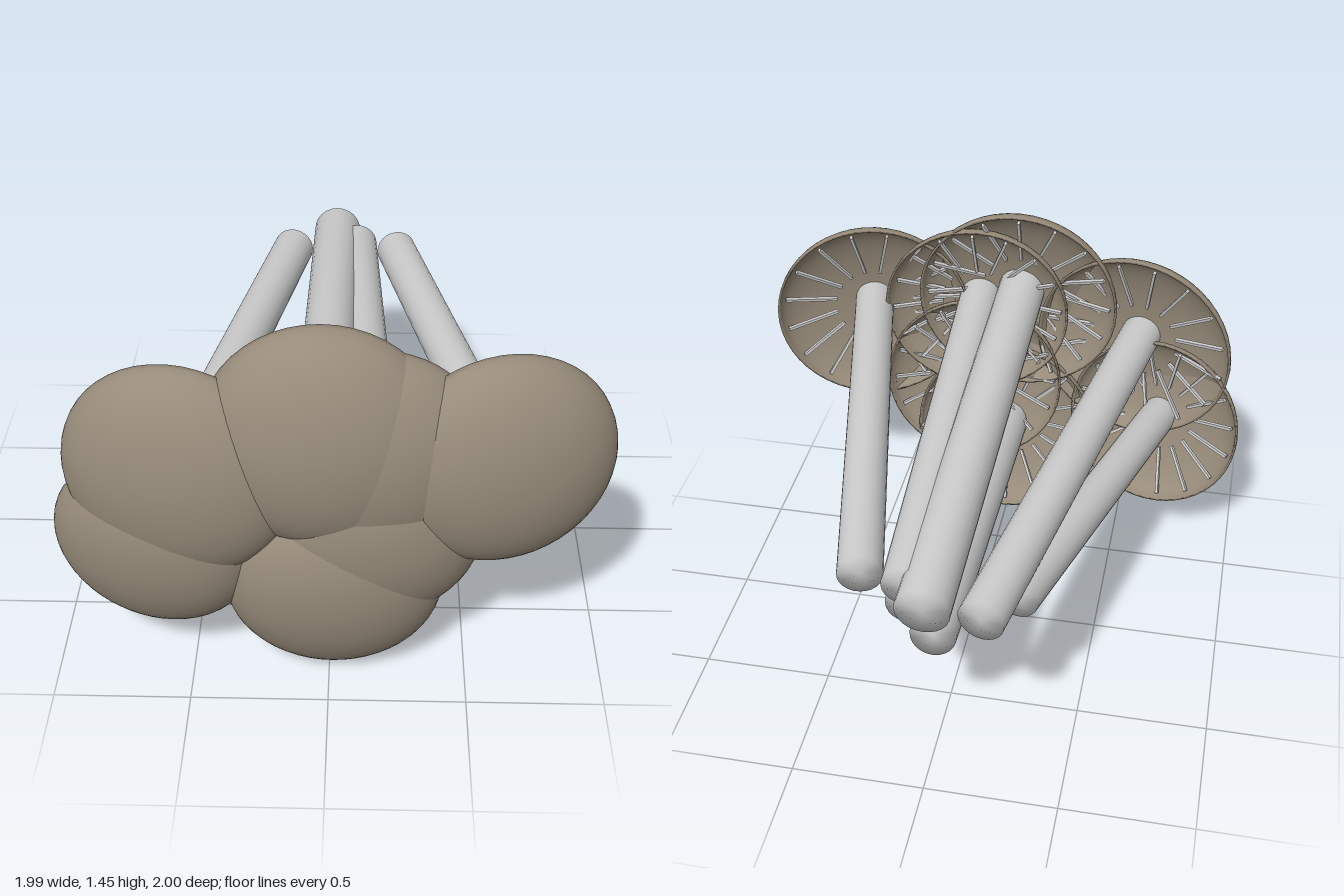
import * as THREE from 'three';
import { mergeVertices } from 'three/addons/utils/BufferGeometryUtils.js';

const stemMaterial = new THREE.MeshStandardMaterial({ color: 0xcccccc });
const gillMaterial = new THREE.MeshStandardMaterial({ color: 0xcccccc });
const capMaterial = new THREE.MeshStandardMaterial({ color: 0x978b7a, side: THREE.DoubleSide });

// Rim centre, cap radius, cap height, foot of the stem, stem radius
const mushrooms = [
  { name: 'upperLeftMushroom', rim: [-0.52, 0.87, 0.775], r: 0.42, h: 0.195, foot: [-0.2, 0.8, -0.93], stem: 0.085 },
  { name: 'topMushroom', rim: [-0.025, 1.03, 0.785], r: 0.42, h: 0.213, foot: [-0.01, 0.86, -0.99], stem: 0.098 },
  { name: 'farRightMushroom', rim: [0.59, 0.925, 0.755], r: 0.41, h: 0.2, foot: [0.245, 0.85, -0.83], stem: 0.082 },
  { name: 'lowerLeftMushroom', rim: [-0.63, 0.53, 0.74], r: 0.375, h: 0.19, foot: [-0.29, 0.72, -0.7], stem: 0.078 },
  { name: 'bottomMushroom', rim: [0.015, 0.39, 0.78], r: 0.393, h: 0.205, foot: [-0.01, 0.61, -0.83], stem: 0.085 },
  { name: 'lowerMiddleMushroom', rim: [0.16, 0.62, 0.785], r: 0.38, h: 0.193, foot: [0.08, 0.735, -0.82], stem: 0.082 },
  { name: 'upperMiddleMushroom', rim: [0.15, 0.97, 0.785], r: 0.39, h: 0.195, foot: [0.075, 0.855, -0.87], stem: 0.086 },
];

// Domed cap with a shallower hollow underside, rim on y = 0
function capGeometry(r, h) {
  const profile = [];
  const steps = 16;
  for (let i = 0; i <= steps; i++) {
    const a = (i / steps) * Math.PI / 2;
    profile.push(new THREE.Vector2(0.975 * r * Math.sin(a), 0.66 * h * Math.cos(a)));
  }
  for (let i = steps; i >= 0; i--) {
    const a = (i / steps) * Math.PI / 2;
    profile.push(new THREE.Vector2(r * Math.sin(a), h * Math.cos(a)));
  }
  return new THREE.LatheGeometry(profile, 48);
}

// Closed cylinder whose normals run smoothly over its ends
function stemGeometry(r, length) {
  let g = new THREE.CylinderGeometry(r, r, length, 24);
  g.deleteAttribute('uv');
  g.deleteAttribute('normal');
  g = mergeVertices(g);
  g.computeVertexNormals();
  return g;
}

function buildMushroom({ name, rim, r, h, foot, stem }) {
  const group = new THREE.Group();
  group.name = name;
  const top = new THREE.Vector3(...rim);
  const axis = top.clone().sub(new THREE.Vector3(...foot));
  const length = axis.length();

  // Local y runs along the stem, with the rim centre at the origin
  group.position.copy(top);
  group.quaternion.setFromUnitVectors(new THREE.Vector3(0, 1, 0), axis.normalize());

  const cap = new THREE.Mesh(capGeometry(r, h), capMaterial);
  cap.name = 'cap';
  group.add(cap);

  // Stem reaches up into the hollow of the cap
  const reach = 0.68 * h;
  const stalk = new THREE.Mesh(stemGeometry(stem, length + reach), stemMaterial);
  stalk.name = 'stem';
  stalk.position.y = (reach - length) / 2;
  group.add(stalk);

  // Thin gill bars radiating under the cap
  const gills = new THREE.Group();
  gills.name = 'gills';
  const count = 16;
  const bar = new THREE.BoxGeometry(0.55 * r, 0.018, 0.012);
  for (let i = 0; i < count; i++) {
    const spoke = new THREE.Group();
    spoke.rotation.y = (i / count) * Math.PI * 2;
    const gill = new THREE.Mesh(bar, gillMaterial);
    gill.name = 'gill';
    gill.position.set(0.66 * r, 0.24 * h, 0);
    gill.rotation.z = -0.3;
    spoke.add(gill);
    gills.add(spoke);
  }
  group.add(gills);
  return group;
}

export function createModel() {
  const model = new THREE.Group();
  model.name = 'mushroomCluster';
  for (const m of mushrooms) model.add(buildMushroom(m));
  return model;
}
